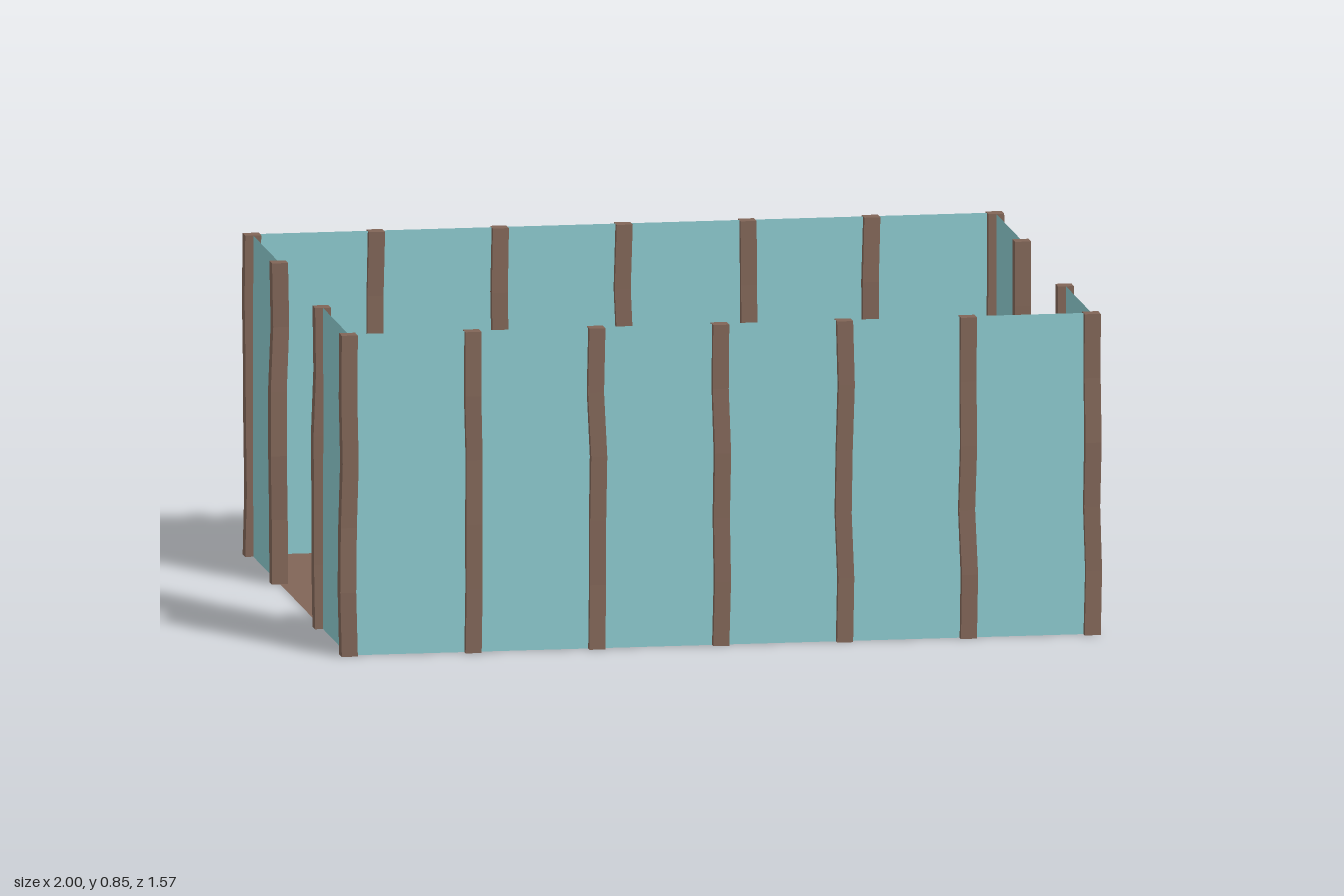
import * as THREE from 'three';

const H = 0.845;      // wall height
const X = 0.976;      // side wall position
const Z = 0.758;      // front and back wall position
const DOOR = 0.338;   // half width of the opening in each side wall
const POST = 0.042;   // post thickness

const wood = new THREE.MeshStandardMaterial({ color: 0x806557, flatShading: true, side: THREE.DoubleSide });
wood.name = 'brown wood';
const cloth = new THREE.MeshStandardMaterial({ color: 0x8ac7cb, side: THREE.DoubleSide });
cloth.name = 'pale teal panel';

// Small seeded generator for the hand-hewn wobble of the posts
let seed = 7;
const wobble = (amount) => {
  seed = (seed * 16807) % 2147483647;
  return (seed / 2147483647 - 0.5) * 2 * amount;
};

function addMesh(parent, name, geometry, material) {
  const mesh = new THREE.Mesh(geometry, material);
  mesh.name = name;
  parent.add(mesh);
  return mesh;
}

// Square post whose cross-section drifts a little at each height
function addPost(parent, name, x, z) {
  const rings = 5;
  const geometry = new THREE.BoxGeometry(POST, H, POST, 1, rings, 1);
  const shifts = Array.from({ length: rings + 1 }, (_, i) =>
    i === 0 || i === rings ? [0, 0] : [wobble(0.005), wobble(0.005)]);
  const p = geometry.attributes.position;
  for (let i = 0; i < p.count; i++) {
    const ring = Math.round((p.getY(i) / H + 0.5) * rings);
    p.setX(i, p.getX(i) + shifts[ring][0]);
    p.setZ(i, p.getZ(i) + shifts[ring][1]);
  }
  geometry.computeVertexNormals();
  addMesh(parent, name, geometry, wood).position.set(x, H / 2, z);
}

export function createModel() {
  const model = new THREE.Group();
  model.name = 'postAndPanelEnclosure';

  // Floor sheet
  const floor = addMesh(model, 'floor', new THREE.PlaneGeometry(2 * X, 2 * Z), wood);
  floor.rotation.x = -Math.PI / 2;
  floor.position.y = 0.001;

  for (const s of [1, -1]) {
    // Long front and back walls with seven posts each
    const longWall = new THREE.Group();
    longWall.name = s > 0 ? 'frontWall' : 'backWall';
    model.add(longWall);
    const panel = addMesh(longWall, 'longPanel', new THREE.PlaneGeometry(2 * X, H), cloth);
    panel.position.set(0, H / 2, s * Z);
    if (s < 0) panel.rotation.y = Math.PI;
    for (let i = -3; i <= 3; i++) addPost(longWall, 'wallPost', (i * X) / 3, s * Z);

    // Short side walls on either side of an opening
    const sideWall = new THREE.Group();
    sideWall.name = s > 0 ? 'leftWall' : 'rightWall';
    model.add(sideWall);
    for (const t of [1, -1]) {
      const short = addMesh(sideWall, 'shortPanel', new THREE.PlaneGeometry(Z - DOOR, H), cloth);
      short.rotation.y = (s * Math.PI) / 2;
      short.position.set(s * X, H / 2, (t * (Z + DOOR)) / 2);
      addPost(sideWall, 'doorPost', s * X, t * DOOR);
    }
  }
  return model;
}
